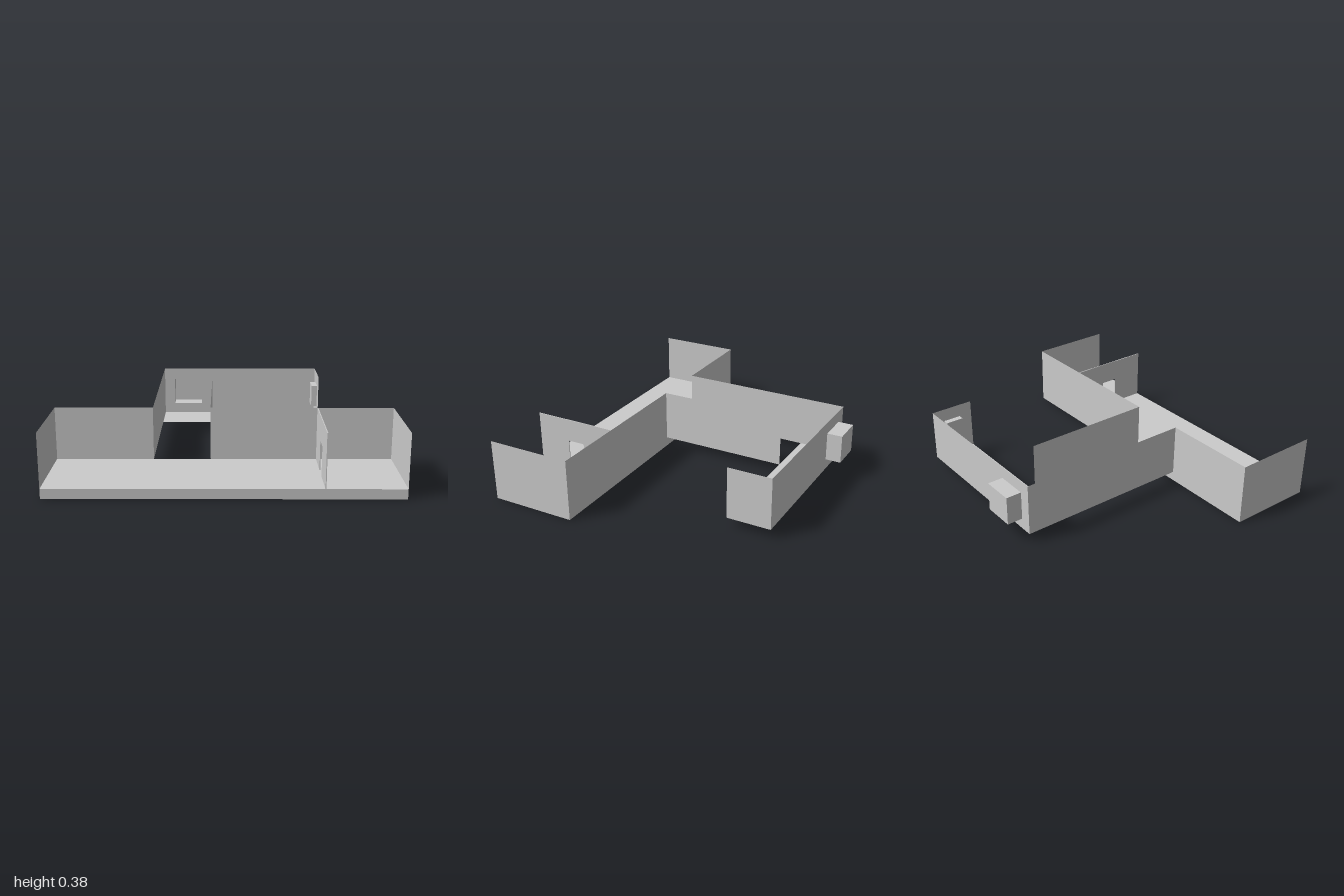
import * as THREE from 'three';

const FLOOR = 0.058, TOP = 0.375;
const grey = new THREE.MeshStandardMaterial({ color: 0xcccccc, side: THREE.DoubleSide, flatShading: true });

function rect(Type, u0, u1, y0, y1) {
  const p = new Type();
  p.moveTo(u0, y0);
  p.lineTo(u1, y0);
  p.lineTo(u1, y1);
  p.lineTo(u0, y1);
  p.closePath();
  return p;
}

export function createModel() {
  const model = new THREE.Group();

  function add(name, geometry, x = 0, y = 0, z = 0) {
    const mesh = new THREE.Mesh(geometry, grey);
    mesh.name = name;
    mesh.position.set(x, y, z);
    model.add(mesh);
    return mesh;
  }

  // Box given by its limits on each axis
  function block(name, [x0, x1], [y0, y1], [z0, z1]) {
    return add(name, new THREE.BoxGeometry(x1 - x0, y1 - y0, z1 - z0),
      (x0 + x1) / 2, (y0 + y1) / 2, (z0 + z1) / 2);
  }

  // Thin upright wall between two plan points, with an optional opening [u0, u1, y0, y1]
  function wall(name, [x0, z0], [x1, z1], opening) {
    const shape = rect(THREE.Shape, 0, Math.hypot(x1 - x0, z1 - z0), FLOOR, TOP);
    if (opening) shape.holes.push(rect(THREE.Path, ...opening));
    const mesh = add(name, new THREE.ShapeGeometry(shape), x0, 0, z0);
    mesh.rotation.y = Math.atan2(z0 - z1, x1 - x0);
    return mesh;
  }

  // Front room: solid floor slab, open to the front
  block('frontRoomFloor', [-1, 1], [0, FLOOR], [0.325, 0.85]);
  wall('frontRoomRightWall', [-1, 0.85], [-1, 0.325]);
  wall('frontRoomBackWallRight', [-1, 0.325], [-0.42, 0.325]);
  wall('frontRoomBackWallLeft', [-0.08, 0.325], [1, 0.325]);
  wall('frontRoomLeftWall', [1, 0.325], [1, 0.85]);

  // Partition with a doorway reaching the floor
  const door = new THREE.Shape();
  [[0, FLOOR], [0.21, FLOOR], [0.21, 0.235], [0.32, 0.235], [0.32, FLOOR],
    [0.525, FLOOR], [0.525, TOP], [0, TOP]].forEach(([u, y], i) => (i ? door.lineTo(u, y) : door.moveTo(u, y)));
  const partition = add('partitionWithDoorway',
    new THREE.ExtrudeGeometry(door, { depth: 0.005, bevelEnabled: false }), 0.555, 0, 0.85);
  partition.rotation.y = Math.PI / 2;
  partition.position.x = 0.55;

  // Floorless corridor
  wall('corridorRightWall', [-0.42, 0.325], [-0.42, -0.485]);
  wall('corridorLeftWall', [-0.08, 0.325], [-0.08, -0.485]);

  // Back room: thin floor, back wall with a window opening
  const floor = add('backRoomFloor', new THREE.PlaneGeometry(1.06, 0.27), 0.11, FLOOR, -0.62);
  floor.rotation.x = -Math.PI / 2;
  wall('backRoomRightWall', [-0.42, -0.485], [-0.42, -0.755]);
  wall('backRoomBackWall', [-0.42, -0.755], [0.64, -0.755], [0.07, 0.26, 0.125, 0.3]);
  wall('backRoomLeftWall', [0.64, -0.755], [0.64, -0.485]);

  // Alcove behind the opening: a box without its front face
  const alcove = block('alcove', [-0.35, -0.16], [0.125, 0.3], [-0.85, -0.755]);
  const index = Array.from(alcove.geometry.index.array);
  index.splice(24, 6);
  alcove.geometry.setIndex(index);

  // Small cabinet on the inside of the end wall
  block('wallCabinet', [0.603, 0.64], [0.15, 0.295], [-0.68, -0.57]);

  return model;
}
